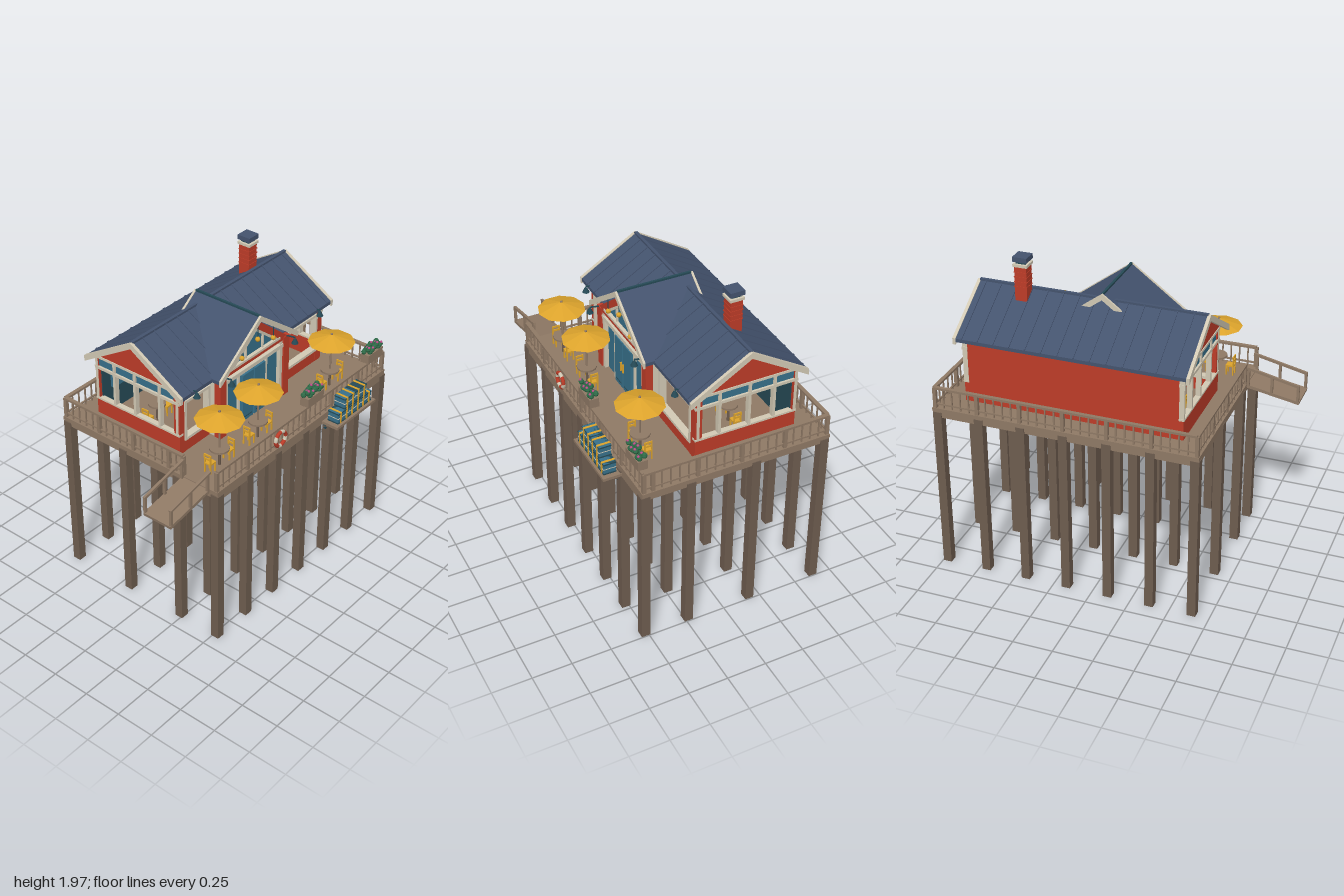
import * as THREE from 'three';

const mat = (name, color) => {
  const m = new THREE.MeshStandardMaterial({ color });
  m.name = name;
  return m;
};

export function createModel() {
  const root = new THREE.Group();
  root.name = 'pierHouse';
  const M = {
    wood: mat('deckWood', 0x8f7965), pile: mat('pilingWood', 0x6e5d4f),
    red: mat('redPaint', 0xbd3c28), cream: mat('creamTrim', 0xd2c9b4),
    roof: mat('roofBlue', 0x44536e), glass: mat('tealGlass', 0x37708a),
    yellow: mat('yellowCanvas', 0xdda42c), green: mat('leafGreen', 0x2f6b48),
    pink: mat('flowerPink', 0xc0508c), dark: mat('darkTeal', 0x264a56),
  };
  const group = (name, parent = root) => {
    const g = new THREE.Group();
    g.name = name;
    parent.add(g);
    return g;
  };
  const add = (g, name, geo, m, x = 0, y = 0, z = 0) => {
    const mesh = new THREE.Mesh(geo, m);
    mesh.name = name;
    mesh.position.set(x, y, z);
    g.add(mesh);
    return mesh;
  };
  // box from its limits
  const box = (g, name, m, x0, x1, y0, y1, z0, z1) => add(g, name,
    new THREE.BoxGeometry(x1 - x0, y1 - y0, z1 - z0), m, (x0 + x1) / 2, (y0 + y1) / 2, (z0 + z1) / 2);
  // square bar between two points
  const bar = (g, name, m, a, b, w, h = w) => {
    const A = new THREE.Vector3(...a), B = new THREE.Vector3(...b);
    const mesh = add(g, name, new THREE.BoxGeometry(w, h, A.distanceTo(B)), m);
    mesh.position.copy(A).add(B).multiplyScalar(0.5);
    mesh.lookAt(B);
    return mesh;
  };
  const faceted = (geo) => {
    const f = geo.toNonIndexed();
    f.computeVertexNormals();
    return f;
  };
  const poly = (pts) => new THREE.Shape(pts.map((p) => new THREE.Vector2(...p)));
  const extrude = (shape, depth) => new THREE.ExtrudeGeometry(shape, { depth, bevelEnabled: false });
  const chevron = (h, apex, eave, t) => poly([[-h, eave - t], [0, apex - t], [h, eave - t], [h, eave], [0, apex], [-h, eave]]);
  // extrusion running along x from x0, centred on the main ridge
  const alongX = (g, name, shape, m, x0, x1) => {
    add(g, name, extrude(shape, x1 - x0), m, x0, 0, -0.18).rotation.y = Math.PI / 2;
  };

  // pilings and deck
  const PX = [-0.64, -0.372, -0.104, 0.165, 0.433, 0.701, 0.969], PZ = [0.52, 0.235, -0.18, -0.63];
  const piles = group('pilings'), deck = group('deck');
  for (const x of PX) for (const z of PZ) box(piles, 'piling', M.pile, x - 0.027, x + 0.027, 0, 1.07, z - 0.027, z + 0.027);
  box(deck, 'deckFloor', M.wood, -0.665, 0.997, 1.075, 1.1, -0.66, 0.54);
  for (const z of PZ) box(deck, 'deckBeam', M.wood, -0.66, 0.99, 1.035, 1.076, z - 0.02, z + 0.02);
  for (const x of PX) box(deck, 'deckJoist', M.wood, x - 0.02, x + 0.02, 1.045, 1.076, -0.655, 0.535);

  // railings
  const rails = group('railings');
  const railing = (x0, z0, x1, z1) => {
    const len = Math.hypot(x1 - x0, z1 - z0), n = Math.round(len / 0.055);
    bar(rails, 'topRail', M.wood, [x0, 1.23, z0], [x1, 1.23, z1], 0.024, 0.014);
    bar(rails, 'bottomRail', M.wood, [x0, 1.125, z0], [x1, 1.125, z1], 0.01);
    for (let i = 0; i <= n; i++) {
      const x = x0 + (x1 - x0) * i / n, z = z0 + (z1 - z0) * i / n;
      const r = i % 5 === 0 || i === n ? 0.011 : 0.004;
      box(rails, 'baluster', M.wood, x - r, x + r, 1.1, 1.23, z - r, z + r);
    }
  };
  railing(-0.65, 0.525, 0.98, 0.525);
  railing(-0.65, -0.645, 0.98, -0.645);
  railing(0.98, -0.645, 0.98, 0.525);
  railing(-0.65, -0.645, -0.65, 0.28);

  // sloping ramp with handrails
  const ramp = group('ramp');
  bar(ramp, 'rampFloor', M.wood, [-0.66, 1.085, 0.38], [-0.995, 1.025, 0.38], 0.2, 0.02);
  for (const z of [0.285, 0.475]) {
    bar(ramp, 'rampRail', M.wood, [-0.65, 1.21, z], [-0.992, 1.135, z], 0.016);
    for (const [x, y] of [[-0.672, 1.08], [-0.82, 1.05], [-0.985, 1.02]]) box(ramp, 'rampPost', M.wood, x - 0.008, x + 0.008, y, y + 0.12, z - 0.008, z + 0.008);
  }

  // house walls
  const house = group('house');
  box(house, 'backWall', M.red, -0.52, 0.85, 1.1, 1.54, -0.505, -0.485);
  box(house, 'innerBackWall', M.dark, -0.5, 0.83, 1.1, 1.5, -0.485, -0.478);
  for (const [a, b] of [[-0.43, -0.28], [0.49, 0.64]]) box(house, 'innerBoard', M.glass, a, b, 1.27, 1.42, -0.478, -0.455);
  for (const [a, b, c, d] of [[-0.52, -0.25, -0.47, -0.26], [0.4, 0.85, 0.42, 0.79]]) {
    box(house, 'frontSill', M.red, a, b, 1.1, 1.18, 0.11, 0.14);
    box(house, 'frontHeader', M.red, a, b, 1.45, 1.53, 0.11, 0.14);
    for (const y of [1.18, 1.435]) box(house, 'windowFrame', M.cream, c, d, y, y + 0.018, 0.105, 0.15);
    for (const x of [c, d]) box(house, 'windowJamb', M.cream, x - 0.008, x + 0.008, 1.18, 1.45, 0.105, 0.149);
  }
  for (const x of [-0.52, 0.79]) box(house, 'cornerPost', M.red, x, x + (x < 0 ? 0.05 : 0.06), 1.1, 1.53, 0.1, 0.142);

  // glazed gable ends
  for (const [x0, x1] of [[-0.52, -0.495], [0.825, 0.85]]) {
    const e = group('gableEnd', house);
    box(e, 'endSill', M.red, x0, x1, 1.1, 1.225, -0.5, 0.12);
    box(e, 'transomGlass', M.glass, x0 + 0.008, x1 - 0.008, 1.455, 1.525, -0.5, 0.12);
    for (const [y, h] of [[1.225, 0.012], [1.44, 0.018], [1.515, 0.016]]) box(e, 'endRail', M.cream, x0 - 0.005, x1 + 0.005, y, y + h, -0.51, 0.145);
    for (const z of [0.125, -0.01, -0.2, -0.36, -0.497]) box(e, 'endPost', M.cream, x0 - 0.003, x1 + 0.003, 1.225, 1.52, z - 0.009, z + 0.009);
    alongX(e, 'gablePanel', poly([[-0.335, 1.525], [0.335, 1.525], [0, 1.73]]), M.red, x0, x1);
  }

  // main roof with seams and bargeboards
  const roof = group('roof');
  alongX(roof, 'mainRoof', chevron(0.37, 1.75, 1.525, 0.022), M.roof, -0.55, 0.875);
  for (const x of [-0.565, 0.87]) alongX(roof, 'bargeboard', chevron(0.373, 1.754, 1.528, 0.04), M.cream, x, x + 0.02);
  for (let i = 0; i < 14; i++) alongX(roof, 'roofSeam', chevron(0.37, 1.756, 1.531, 0.012), M.roof, -0.47 + i * 0.1, -0.464 + i * 0.1);
  box(roof, 'ridgeCap', M.roof, -0.55, 0.875, 1.742, 1.757, -0.19, -0.17);

  // cross gable roof
  const CX = 0.075;
  add(roof, 'crossRoof', extrude(chevron(0.365, 1.8, 1.53, 0.022), 0.48), M.roof, CX, 0, -0.232);
  for (const z of [-0.243, 0.245]) add(roof, 'crossBargeboard', extrude(chevron(0.367, 1.804, 1.534, 0.038), 0.014), M.cream, CX, 0, z);
  box(roof, 'crossRidge', M.dark, CX - 0.007, CX + 0.007, 1.792, 1.807, -0.23, 0.245);

  // entrance front
  const entry = group('entrance');
  const tri = poly([[-0.33, 1.5], [0.33, 1.5], [0, 1.765]]);
  tri.holes.push(new THREE.Path([[-0.21, 1.53], [0, 1.695], [0.21, 1.53]].map((p) => new THREE.Vector2(...p))));
  add(entry, 'entryGable', extrude(tri, 0.03), M.red, CX, 0, 0.19);
  add(entry, 'gableGlass', extrude(poly([[-0.23, 1.51], [0.23, 1.51], [0, 1.71]]), 0.008), M.glass, CX, 0, 0.195);
  box(entry, 'entryGlass', M.glass, -0.2, 0.35, 1.1, 1.51, 0.175, 0.19);
  for (const s of [-1, 1]) {
    const c = CX + s * 0.3;
    box(entry, 'entryColumn', M.red, c - 0.027, c + 0.027, 1.1, 1.52, 0.18, 0.225);
    box(entry, 'entryReturn', M.cream, c - 0.02, c + 0.02, 1.1, 1.52, 0.13, 0.18);
    const p = CX + s * 0.26;
    box(entry, 'entryPost', M.cream, p - 0.012, p + 0.012, 1.1, 1.51, 0.18, 0.215);
    box(entry, 'sidePost', M.cream, CX + s * 0.13 - 0.007, CX + s * 0.13 + 0.007, 1.1, 1.46, 0.185, 0.205);
    bar(entry, 'gableTrim', M.cream, [CX + s * 0.215, 1.53, 0.215], [CX, 1.698, 0.215], 0.016);
    box(entry, 'gableMullion', M.cream, CX + s * 0.08 - 0.005, CX + s * 0.08 + 0.005, 1.53, 1.63, 0.2, 0.215);
    box(entry, 'door', M.glass, CX + s * 0.056 - 0.05, CX + s * 0.056 + 0.05, 1.105, 1.43, 0.19, 0.215);
    box(entry, 'doorPane', M.dark, CX + s * 0.056 - 0.036, CX + s * 0.056 + 0.036, 1.13, 1.135, 0.21, 0.218);
    box(entry, 'doorHandle', M.yellow, CX + s * 0.015 - 0.004, CX + s * 0.015 + 0.004, 1.23, 1.29, 0.215, 0.225);
  }
  box(entry, 'entryBeam', M.cream, -0.22, 0.37, 1.45, 1.475, 0.18, 0.22);
  box(entry, 'upperBeam', M.cream, -0.16, 0.31, 1.525, 1.54, 0.19, 0.225);
  for (const [x, y] of [[-0.07, 1.58], [CX, 1.64], [0.225, 1.58]]) {
    add(entry, 'hangingBulb', new THREE.SphereGeometry(0.016, 8, 6), M.yellow, x, y, 0.235);
    box(entry, 'bulbCord', M.dark, x - 0.002, x + 0.002, y, y + 0.1, 0.233, 0.237);
  }

  // wall lamps
  for (const [x, z] of [[-0.445, 0.15], [-0.225, 0.225], [0.375, 0.225], [0.73, 0.15]]) {
    const l = group('wallLamp');
    bar(l, 'lampArm', M.dark, [x, 1.52, z], [x, 1.53, z + 0.06], 0.007);
    add(l, 'lampShade', new THREE.CylinderGeometry(0.008, 0.022, 0.03, 10), M.dark, x, 1.505, z + 0.06);
    add(l, 'lampBulb', new THREE.SphereGeometry(0.01, 8, 6), M.yellow, x, 1.488, z + 0.06);
  }

  // chimney
  const ch = group('chimney');
  box(ch, 'chimneyStack', M.red, 0.532, 0.608, 1.62, 1.91, -0.272, -0.196);
  for (let y = 1.78; y < 1.9; y += 0.03) box(ch, 'brickCourse', M.red, 0.529, 0.611, y, y + 0.006, -0.275, -0.193);
  box(ch, 'chimneyBand', M.cream, 0.525, 0.615, 1.908, 1.925, -0.28, -0.188);
  box(ch, 'flue', M.dark, 0.54, 0.6, 1.925, 1.945, -0.264, -0.204);
  box(ch, 'chimneyCap', M.roof, 0.525, 0.615, 1.94, 1.97, -0.28, -0.188);

  // tables, chairs and parasols
  const table = (g, x, z, r, legs) => {
    add(g, 'tableTop', new THREE.CylinderGeometry(r, r, 0.012, 14), M.wood, x, 1.215, z);
    add(g, 'tableLeg', new THREE.CylinderGeometry(0.008, 0.008, 0.11, 8), M.pile, x, 1.155, z);
    for (const s of legs) {
      const c = group('chair', g);
      c.position.set(x + s * 0.085, 1.1, z);
      c.rotation.y = s > 0 ? 0 : Math.PI;
      box(c, 'seat', M.yellow, -0.025, 0.025, 0.058, 0.068, -0.025, 0.025);
      for (const px of [-0.021, 0.021]) for (const pz of [-0.021, 0.021]) box(c, 'chairLeg', M.yellow, px - 0.004, px + 0.004, 0, px > 0 ? 0.125 : 0.06, pz - 0.004, pz + 0.004);
      for (const y of [0.09, 0.115]) box(c, 'chairSlat', M.yellow, 0.018, 0.024, y, y + 0.012, -0.025, 0.025);
    }
  };
  for (const x of [-0.445, -0.09, 0.63]) {
    const g = group('parasolTable');
    table(g, x, 0.375, 0.06, [-1, 1]);
    add(g, 'parasolPole', new THREE.CylinderGeometry(0.006, 0.006, 0.37, 8), M.wood, x, 1.285, 0.375);
    add(g, 'parasol', faceted(new THREE.ConeGeometry(0.147, 0.05, 10)), M.yellow, x, 1.442, 0.375);
    add(g, 'parasolKnob', new THREE.SphereGeometry(0.008, 8, 6), M.wood, x, 1.468, 0.375);
  }
  for (const x of [-0.33, 0.15, 0.62]) table(group('indoorTable'), x, -0.2, 0.055, [-1, 1]);

  // flower boxes
  for (const x of [0.25, 0.873]) {
    const g = group('flowerBox');
    box(g, 'planter', M.wood, x - 0.077, x + 0.077, 1.235, 1.295, 0.485, 0.545);
    for (let i = 0; i < 14; i++) {
      const px = x - 0.066 + (i % 7) * 0.022, pz = i < 7 ? 0.5 : 0.53, py = 1.305 + (i * 5 % 4) * 0.009;
      add(g, 'leaves', faceted(new THREE.IcosahedronGeometry(0.018, 0).toNonIndexed ? new THREE.SphereGeometry(0.018, 6, 4) : null), M.green, px, py, pz);
      if (i % 2) add(g, 'blossom', new THREE.SphereGeometry(0.009, 6, 4), M.pink, px, py + 0.014, pz + 0.006);
    }
  }

  // lifebuoy with cream bands
  const buoy = group('lifebuoy');
  buoy.position.set(-0.095, 1.165, 0.547);
  for (let i = 0; i < 8; i++) {
    const t = add(buoy, i % 2 ? 'buoyBand' : 'buoyRing', new THREE.TorusGeometry(0.046, 0.012, 8, 6, (i % 2 ? 0.4 : 0.6) * Math.PI / 2), i % 2 ? M.cream : M.red);
    t.rotation.z = Math.floor(i / 2) * Math.PI / 2 + (i % 2 ? 0.3 * Math.PI : 0);
  }

  // side platform with stacked traps
  const shelf = group('trapPlatform');
  box(shelf, 'platformFloor', M.wood, 0.33, 0.735, 1.04, 1.058, 0.53, 0.655);
  for (const x of [0.37, 0.695]) {
    bar(shelf, 'platformBrace', M.pile, [x, 1.0, 0.53], [x, 1.04, 0.64], 0.014);
    box(shelf, 'braceFoot', M.dark, x - 0.007, x + 0.007, 0.985, 1.05, 0.53, 0.547);
  }
  const trap = (x, y) => {
    const g = group('trap', shelf), w = 0.054, h = 0.072;
    box(g, 'trapBody', M.glass, x - w, x + w, y, y + h, 0.562, 0.637);
    for (const k of [-0.03, 0.03]) box(g, 'trapStrap', M.yellow, x + k - 0.007, x + k + 0.007, y - 0.001, y + h + 0.003, 0.558, 0.641);
    for (const k of [0, h - 0.008]) box(g, 'trapEdge', M.dark, x - w - 0.002, x + w + 0.002, y + k, y + k + 0.008, 0.56, 0.639);
    box(g, 'trapSlat', M.cream, x - w - 0.001, x + w + 0.001, y + 0.033, y + 0.038, 0.56, 0.639);
  };
  for (const x of [0.415, 0.533, 0.65]) trap(x, 1.06);
  for (const x of [0.475, 0.592]) trap(x, 1.138);

  return root;
}
